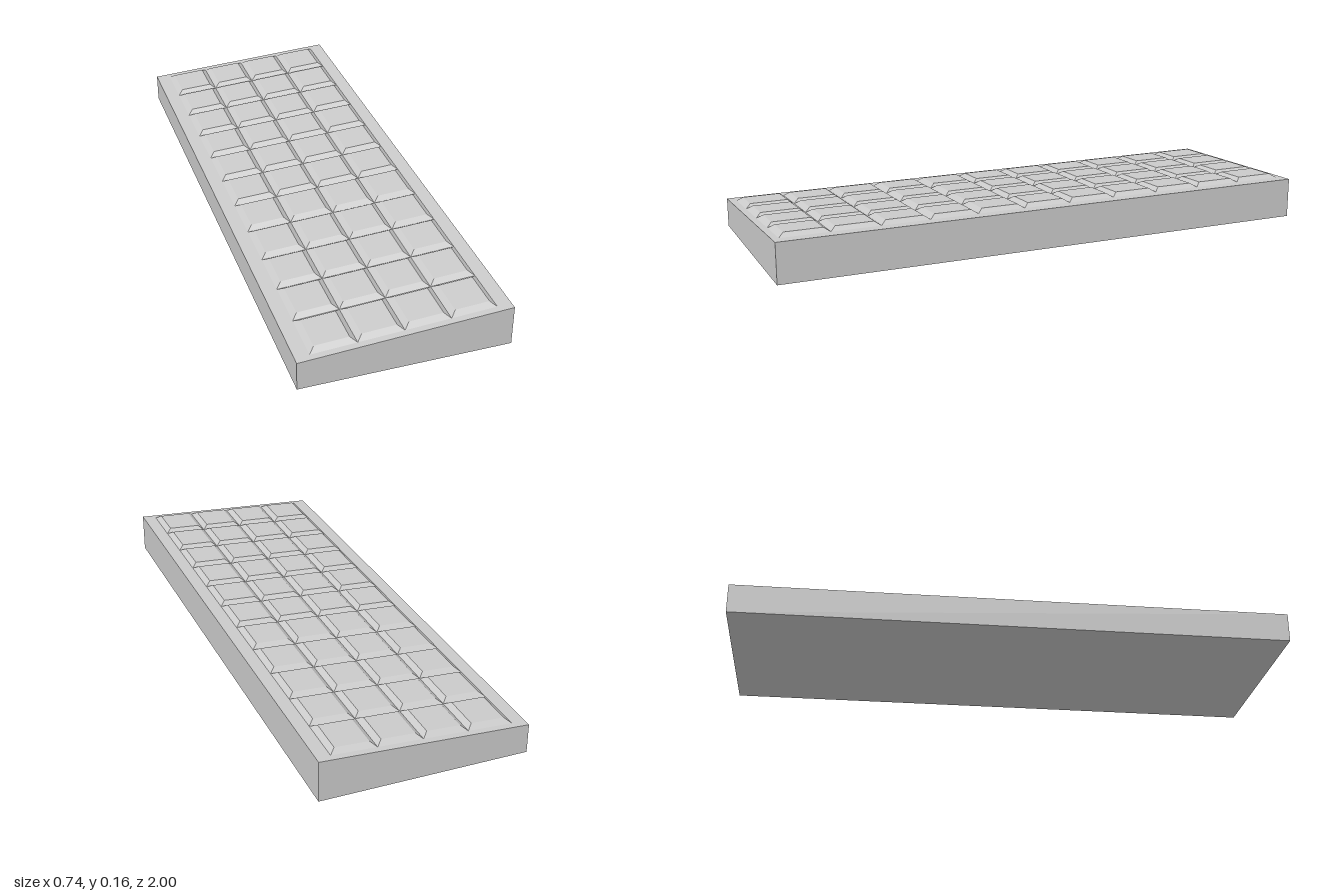
import * as THREE from 'three';

const LOW = 0.106, HIGH = 0.147, HALF_W = 0.37, HALF_L = 1;
const COLS = 4, ROWS = 11, PITCH_X = 0.16, PITCH_Z = 0.1773;
const KEY_H = 0.014, BEVEL = 0.02;

// Height of the sloping deck at a given x
const deckY = (x) => LOW + (HIGH - LOW) * (x + HALF_W) / (2 * HALF_W);

// Reshape a box by moving each vertex with a rule
function shapedBox(w, h, d, rule) {
  const geo = new THREE.BoxGeometry(w, h, d);
  const pos = geo.attributes.position;
  const v = new THREE.Vector3();
  for (let i = 0; i < pos.count; i++) {
    rule(v.fromBufferAttribute(pos, i));
    pos.setXYZ(i, v.x, v.y, v.z);
  }
  geo.computeVertexNormals();
  return geo;
}

export function createModel() {
  const model = new THREE.Group();
  model.name = 'keypadSlab';
  const material = new THREE.MeshStandardMaterial({ color: 0xcccccc, flatShading: true });

  // Wedge-shaped body, higher on the left (+x) side
  const body = new THREE.Mesh(shapedBox(2 * HALF_W, 1, 2 * HALF_L, (v) => {
    v.y = v.y > 0 ? deckY(v.x) : 0;
  }), material);
  body.name = 'wedgeBody';
  model.add(body);

  // Grid of bevelled keys following the slope
  const keys = new THREE.Group();
  keys.name = 'keys';
  for (let c = 0; c < COLS; c++) {
    const x = (c - (COLS - 1) / 2) * PITCH_X;
    const geo = shapedBox(PITCH_X, 1, PITCH_Z, (v) => {
      const top = v.y > 0;
      if (top) {
        v.x -= Math.sign(v.x) * BEVEL;
        v.z -= Math.sign(v.z) * BEVEL;
      }
      v.y = deckY(x + v.x) + (top ? KEY_H : 0);
    });
    for (let r = 0; r < ROWS; r++) {
      const key = new THREE.Mesh(geo, material);
      key.name = `key_${r + 1}_${c + 1}`;
      key.position.set(x, 0, (r - (ROWS - 1) / 2) * PITCH_Z);
      keys.add(key);
    }
  }
  model.add(keys);
  return model;
}
